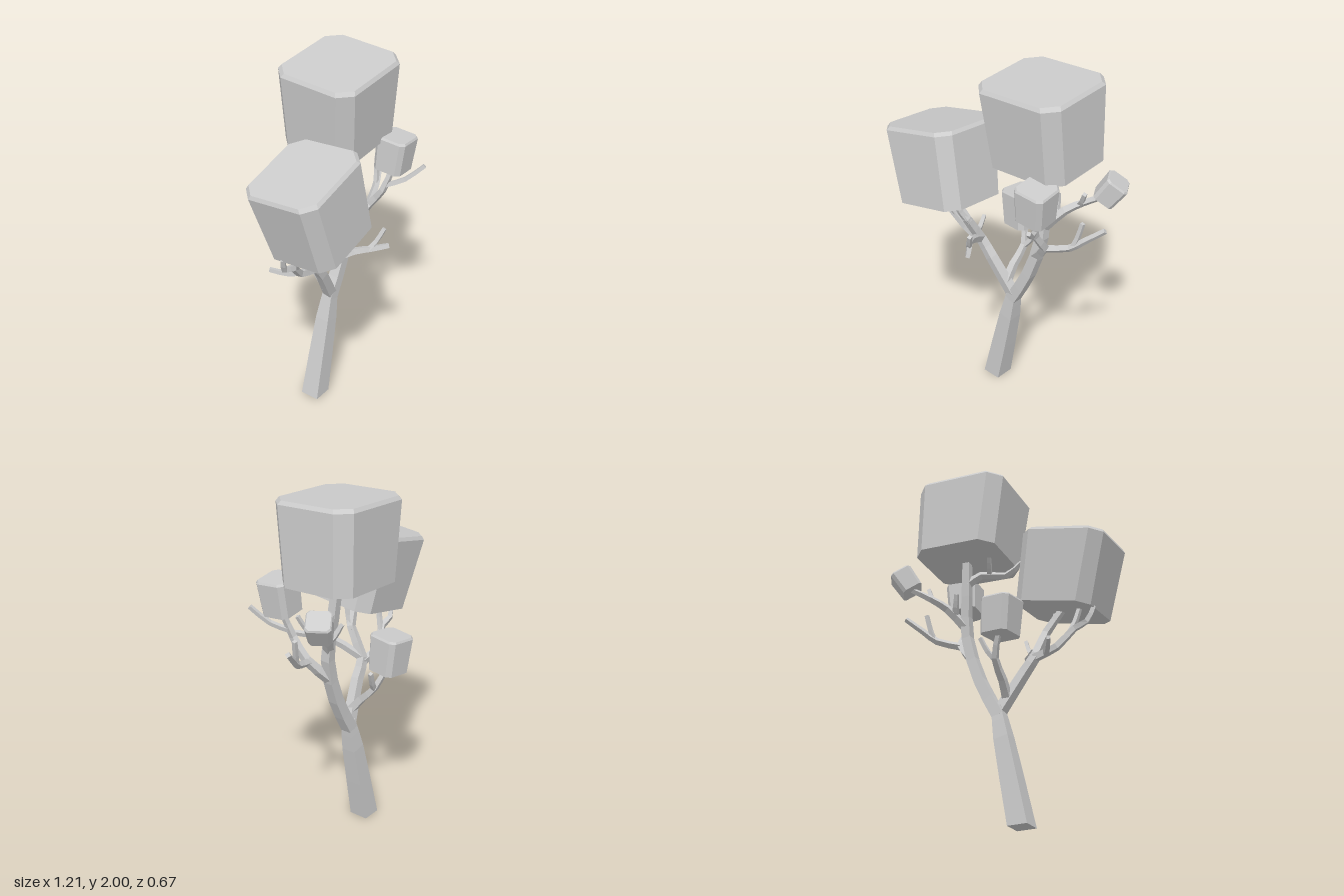
import * as THREE from 'three';

const material = new THREE.MeshStandardMaterial({ color: 0xcccccc, flatShading: true });
const UP = new THREE.Vector3(0, 1, 0);
const V = (p) => new THREE.Vector3(...p);

// Closed, faceted skin over rings of points (counter-clockwise seen from the last ring)
function loft(name, rings) {
  const pos = [];
  const tri = (...pts) => pts.forEach((p) => pos.push(p.x, p.y, p.z));
  const n = rings[0].length;
  const first = rings[0], last = rings[rings.length - 1];
  for (let i = 0; i < rings.length - 1; i++) {
    for (let j = 0; j < n; j++) {
      const k = (j + 1) % n;
      tri(rings[i][j], rings[i][k], rings[i + 1][k]);
      tri(rings[i][j], rings[i + 1][k], rings[i + 1][j]);
    }
  }
  for (let j = 1; j < n - 1; j++) {
    tri(first[0], first[j + 1], first[j]);
    tri(last[0], last[j], last[j + 1]);
  }
  const geo = new THREE.BufferGeometry();
  geo.setAttribute('position', new THREE.Float32BufferAttribute(pos, 3));
  geo.computeVertexNormals();
  const mesh = new THREE.Mesh(geo, material);
  mesh.name = name;
  return mesh;
}

// Square-section limb along a curve, tapering from width w0 to w1
function limb(name, points, w0, w1) {
  const curve = new THREE.CatmullRomCurve3(points);
  const width = (t) => THREE.MathUtils.lerp(w0, w1, t);
  const steps = (points.length - 1) * 2;
  const u = new THREE.Vector3(1, 0, 0);
  const rings = [];
  for (let i = 0; i <= steps; i++) {
    const s = i / steps, h = width(s) / 2, p = curve.getPoint(s);
    const onGround = p.y === 0;
    const t = onGround ? UP : curve.getTangent(s);
    u.addScaledVector(t, -u.dot(t)).normalize();
    const v = new THREE.Vector3().crossVectors(t, u);
    rings.push([[1, 1], [-1, 1], [-1, -1], [1, -1]].map(([a, b]) =>
      p.clone().addScaledVector(u, a * h).addScaledVector(v, b * h)));
  }
  return { mesh: loft(name, rings), curve, width };
}

// Rectangle with cut corners at height y
function octagon(w, d, cut, y) {
  const a = w / 2, b = d / 2, p = a - cut, q = b - cut;
  return [[a, q], [p, b], [-p, b], [-a, q], [-a, -q], [-p, -b], [p, -b], [a, -q]]
    .map(([x, s]) => new THREE.Vector3(x, y, -s));
}

// Leaf block between the centres of its bottom and top, widening upward, with a bevelled top
function leafBlock(name, bottom, top, w, d, yaw) {
  const axis = V(top).sub(V(bottom)), h = axis.length();
  const cut = w * 0.13, bevel = 0.004 + w * 0.017, taper = 0.92;
  const mesh = loft(name, [
    octagon(w * taper, d * taper, cut, 0),
    octagon(w, d, cut, h - bevel * 1.5),
    octagon(w - bevel * 2, d - bevel * 2, cut, h),
  ]);
  mesh.position.copy(V(bottom));
  mesh.quaternion.setFromUnitVectors(UP, axis.normalize())
    .multiply(new THREE.Quaternion().setFromAxisAngle(UP, yaw));
  return mesh;
}

export function createModel() {
  const tree = new THREE.Group();
  tree.name = 'tree';
  const add = (part) => {
    tree.add(part.mesh);
    return part;
  };

  // A fork carries on the parent's width; a bough starts a little thinner
  const grow = (name, parent, t, points, scale, tip) => add(limb(
    name, [parent.curve.getPoint(t), ...points.map(V)], parent.width(t) * scale, tip));
  const bough = (name, parent, t, ...points) => grow(name, parent, t, points, 0.83, 0.022);

  // A twig sags a little in the middle, then turns up to its tip
  const twig = (parent, t, tip) => {
    const start = parent.curve.getPoint(t), end = V(tip);
    const mid = start.clone().lerp(end, 0.5);
    mid.y -= start.distanceTo(end) * 0.1;
    add(limb('twig', [start, mid, end], parent.width(t) * 0.83, 0.02));
  };

  // Trunk and its two forks
  const trunk = add(limb('trunk',
    [[-0.105, 0, -0.055], [-0.002, 0.48, -0.05], [0.035, 0.66, -0.045]].map(V), 0.11, 0.056));
  const leftFork = grow('leftFork', trunk, 0.85,
    [[0.14, 0.83, -0.046], [0.22, 1.1, -0.055], [0.212, 1.34, -0.085], [0.2, 1.56, -0.11]], 1, 0.04);
  const rightFork = grow('rightFork', trunk, 0.92,
    [[-0.1, 0.85, -0.005], [-0.165, 0.95, 0.01], [-0.18, 1.11, 0.1], [-0.28, 1.26, 0.13]], 0.9, 0.03);

  // Boughs of the right fork
  const lowBough = bough('lowBough', rightFork, 0.45,
    [-0.29, 0.965, 0], [-0.38, 1.065, 0.03], [-0.45, 1.09, 0.03], [-0.485, 1.18, 0.05]);
  twig(lowBough, 0.12, [-0.325, 0.935, -0.18]);
  twig(lowBough, 0.42, [-0.4, 1.23, 0.08]);
  twig(rightFork, 0.72, [-0.22, 1.27, 0.17]);
  const frontBough = bough('frontBough', rightFork, 0.5,
    [-0.07, 1.065, 0.19], [-0.01, 1.075, 0.257], [0.05, 1.09, 0.325]);
  twig(frontBough, 0.6, [0.04, 1.19, 0.3]);
  const backBough = bough('backBough', rightFork, 0.08,
    [-0.02, 0.79, -0.1], [-0.02, 0.88, -0.185], [-0.065, 1, -0.23]);
  twig(backBough, 0.64, [0.055, 1, -0.21]);

  // Boughs of the left fork
  const leftBough = bough('leftBough', leftFork, 0.38,
    [0.305, 1.11, 0.02], [0.31, 1.22, 0.1], [0.35, 1.37, 0.14]);
  twig(leftBough, 0.75, [0.43, 1.38, 0.285]);
  const sideBough = bough('sideBough', leftBough, 0.3,
    [0.43, 1.14, -0.03], [0.5, 1.2, -0.058], [0.592, 1.28, -0.108]);
  twig(sideBough, 0.4, [0.485, 1.3, -0.06]);
  const outerBough = bough('outerBough', leftFork, 0.56,
    [0.31, 1.27, -0.13], [0.38, 1.32, -0.19], [0.485, 1.385, -0.23]);
  twig(outerBough, 0.2, [0.235, 1.33, -0.16]);
  twig(outerBough, 0.6, [0.425, 1.41, -0.14]);
  const crownBough = bough('crownBough', leftFork, 0.83,
    [0.13, 1.465, -0.07], [0, 1.45, -0.03], [-0.09, 1.52, -0.01]);
  twig(crownBough, 0.45, [0.05, 1.53, -0.13]);

  // Leaf blocks
  tree.add(
    leafBlock('crownLeaves', [0.195, 1.535, -0.11], [0.165, 1.97, -0.088], 0.53, 0.475, 0.015),
    leafBlock('rightLeaves', [-0.272, 1.23, 0.13], [-0.37, 1.638, 0.09], 0.485, 0.44, 0.02),
    leafBlock('frontLeaves', [0.342, 1.36, 0.138], [0.36, 1.55, 0.152], 0.18, 0.175, 0.06),
    leafBlock('outerLeaves', [0.48, 1.375, -0.225], [0.545, 1.485, -0.262], 0.125, 0.13, 0.55),
    leafBlock('backLeaves', [-0.073, 0.98, -0.228], [-0.09, 1.182, -0.24], 0.18, 0.18, -0.13),
  );

  return tree;
}
